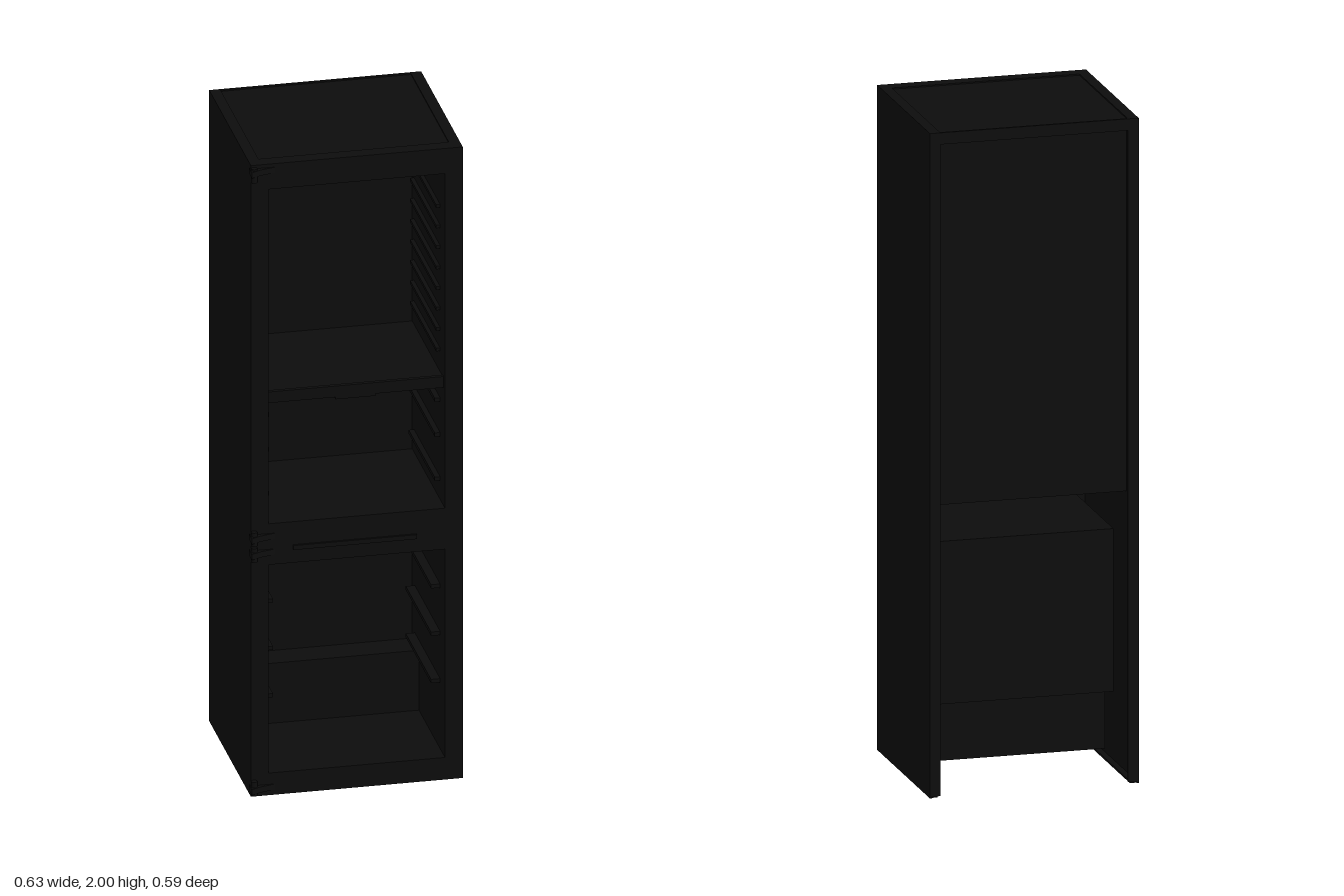
import * as THREE from 'three';

const black = new THREE.MeshStandardMaterial({ color: 0x0d0d0d });

export function createModel() {
  const model = new THREE.Group();
  model.name = 'refrigeratorCabinet';

  const add = (name, geometry) => {
    const mesh = new THREE.Mesh(geometry, black);
    mesh.name = name;
    model.add(mesh);
    return mesh;
  };
  // Box given by its limits on each axis
  const box = (name, x0, x1, y0, y1, z0, z1) => {
    const g = new THREE.BoxGeometry(x1 - x0, y1 - y0, z1 - z0);
    g.translate((x0 + x1) / 2, (y0 + y1) / 2, (z0 + z1) / 2);
    return add(name, g);
  };
  // The same box on both sides of the cabinet
  const pair = (name, x0, x1, ...rest) => {
    box(name + 'Left', x0, x1, ...rest);
    box(name + 'Right', -x1, -x0, ...rest);
  };

  // Outer shell: thin side sheets with return flanges at the open back
  pair('sidePanel', 0.309, 0.315, 0, 2, -0.295, 0.258);
  pair('rearFlange', 0.283, 0.31, 0.005, 1.99, -0.295, -0.289);
  pair('bottomFlange', 0.29, 0.31, 0, 0.006, -0.289, 0.25);
  box('topPanel', -0.31, 0.31, 1.985, 1.996, -0.293, 0.258);
  pair('topRim', 0.283, 0.315, 1.99, 2, -0.295, 0.258);
  box('topRearRim', -0.283, 0.283, 1.965, 2, -0.295, -0.287);
  box('topFrontRim', -0.315, 0.315, 1.985, 2, 0.222, 0.262);

  // Front face frame with two openings
  const rect = (P, x0, x1, y0, y1) => new P().moveTo(x0, y0).lineTo(x1, y0).lineTo(x1, y1).lineTo(x0, y1).closePath();
  const face = rect(THREE.Shape, -0.315, 0.315, 0, 2);
  face.holes.push(rect(THREE.Path, -0.262, 0.262, 0.86, 1.92), rect(THREE.Path, -0.262, 0.262, 0.07, 0.73));
  const faceGeometry = new THREE.ExtrudeGeometry(face, { depth: 0.009, bevelEnabled: false });
  faceGeometry.translate(0, 0, 0.256);
  add('frontFrame', faceGeometry);
  box('topRail', -0.309, 0.309, 1.93, 1.985, 0.222, 0.257);
  box('middleRail', -0.309, 0.309, 0.74, 0.85, 0.222, 0.257);
  box('bottomRail', -0.309, 0.309, 0.002, 0.06, 0.222, 0.257);
  box('middleTrim', -0.19, 0.178, 0.773, 0.787, 0.26, 0.272);

  // Upper compartment liner
  box('upperBack', -0.309, 0.309, 0.85, 1.985, -0.185, -0.175);
  box('upperFloor', -0.309, 0.309, 0.85, 0.86, -0.18, 0.258);
  box('upperCeiling', -0.27, 0.27, 1.92, 1.93, -0.18, 0.258);
  pair('upperWall', 0.262, 0.27, 0.855, 1.925, -0.18, 0.258);
  box('backCover', -0.07, 0.07, 1.77, 1.88, -0.176, -0.168);

  // Shelf dividing the upper compartment
  box('shelf', -0.262, 0.262, 1.245, 1.265, -0.176, 0.24);
  box('shelfTrim', -0.262, 0.262, 1.235, 1.27, 0.235, 0.248);
  box('shelfGrip', -0.06, 0.06, 1.228, 1.236, 0.232, 0.248);

  // Lower compartment liner with a step over the machinery space
  box('lowerCeiling', -0.27, 0.27, 0.73, 0.74, -0.18, 0.258);
  box('lowerBack', -0.27, 0.27, 0.25, 0.74, -0.185, -0.175);
  box('lowerStep', -0.27, 0.27, 0.25, 0.26, -0.18, -0.085);
  box('lowerStepFront', -0.27, 0.27, 0.055, 0.26, -0.095, -0.085);
  box('lowerFloor', -0.27, 0.27, 0.055, 0.07, -0.09, 0.258);
  pair('lowerWallUpper', 0.262, 0.27, 0.25, 0.735, -0.18, 0.258);
  pair('lowerWallLower', 0.262, 0.27, 0.06, 0.25, -0.09, 0.258);

  // Runner ribs on the compartment walls
  for (let i = 0; i < 8; i++) {
    pair('shelfRib', 0.25, 0.263, 1.33 + i * 0.065, 1.34 + i * 0.065, -0.15, 0.2);
  }
  for (const y of [0.92, 1.06, 1.17]) pair('drawerRunner', 0.246, 0.263, y, y + 0.012, -0.15, 0.2);
  for (const y of [0.28, 0.43, 0.58]) pair('freezerRunner', 0.235, 0.263, y, y + 0.012, -0.14, 0.2);

  // Hinges on one side: tapered plate with a pin
  const plate = new THREE.Shape([[-0.318, 0.255], [-0.245, 0.255], [-0.245, 0.266], [-0.29, 0.278], [-0.318, 0.292]]
    .map(([x, z]) => new THREE.Vector2(x, z)));
  const hinge = (y, pinY) => {
    const g = new THREE.ExtrudeGeometry(plate, { depth: 0.018, bevelEnabled: false });
    g.rotateX(Math.PI / 2);
    g.translate(0, y + 0.009, 0);
    add('hingePlate', g);
    const pin = new THREE.CylinderGeometry(0.009, 0.009, 0.044, 16);
    pin.translate(-0.307, pinY, 0.274);
    add('hingePin', pin);
  };
  hinge(1.98, 1.972);
  hinge(0.82, 0.82);
  hinge(0.77, 0.77);
  hinge(0.025, 0.03);

  return model;
}
